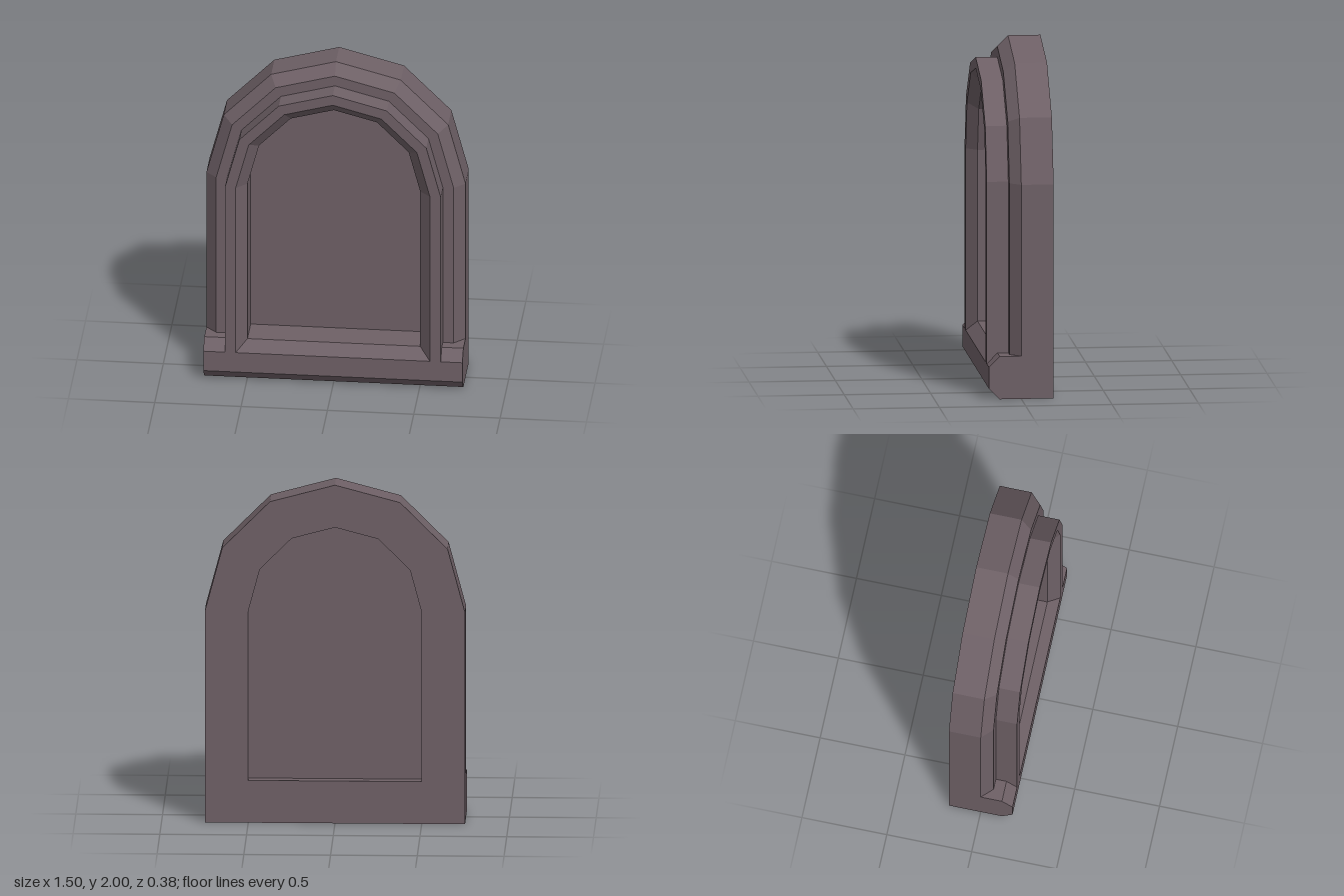
import * as THREE from 'three';

const SPRING = 1.25; // height where the arch begins
const SEGMENTS = 6;

// Sweep a closed [radius, z, footHeight] section up one jamb, over the arch and down the other.
function archSweep(section) {
  const rows = SEGMENTS + 3;
  const n = section.length;
  const positions = [];
  const indices = [];
  for (let j = 0; j < rows; j++) {
    const k = Math.min(Math.max(j - 1, 0), SEGMENTS);
    const angle = (k / SEGMENTS) * Math.PI;
    const isFoot = j === 0 || j === rows - 1;
    for (const [r, z, foot] of section) {
      positions.push(r * Math.cos(angle), isFoot ? foot : SPRING + r * Math.sin(angle), z);
    }
  }
  for (let j = 0; j < rows - 1; j++) {
    for (let i = 0; i < n; i++) {
      const a = j * n + i, d = j * n + (i + 1) % n;
      const b = a + n, c = d + n;
      indices.push(a, b, c, a, c, d);
    }
  }
  const indexed = new THREE.BufferGeometry();
  indexed.setAttribute('position', new THREE.Float32BufferAttribute(positions, 3));
  indexed.setIndex(indices);
  const geometry = indexed.toNonIndexed();
  geometry.computeVertexNormals();
  return geometry;
}

// Flat arched outline of a given half-width
function archShape(r, bottom) {
  const points = [new THREE.Vector2(-r, bottom), new THREE.Vector2(r, bottom)];
  for (let k = 0; k <= SEGMENTS; k++) {
    const a = (k / SEGMENTS) * Math.PI;
    points.push(new THREE.Vector2(r * Math.cos(a), SPRING + r * Math.sin(a)));
  }
  return new THREE.Shape(points);
}

export function createModel() {
  const model = new THREE.Group();
  model.name = 'archedWindow';

  const stone = new THREE.MeshStandardMaterial({ color: 0x6e6066, flatShading: true });
  stone.name = 'mauveStone';

  const add = (name, geometry) => {
    const mesh = new THREE.Mesh(geometry, stone);
    mesh.name = name;
    model.add(mesh);
    return mesh;
  };

  // Arched surround: chamfered outer step, raised moulding and chamfered reveal
  add('archedFrame', archSweep([
    [0.75, -0.1875, 0.25],
    [0.75, 0, 0.25],
    [0.6875, 0.0625, 0.25],
    [0.625, 0.0625, 0.25],
    [0.625, 0.125, 0.25],
    [0.625, 0.1875, 0.1875],
    [0.5625, 0.1875, 0.1875],
    [0.5, 0.125, 0.25],
    [0.5, -0.1875, 0.25],
  ]));

  // Sill: profile drawn as (-z, y), extruded across the width
  const sillProfile = new THREE.Shape([
    [0.1875, 0], [0.1875, 0.25], [-0.125, 0.25],
    [-0.1875, 0.1875], [-0.1875, 0.0625], [-0.125, 0],
  ].map(([u, v]) => new THREE.Vector2(u, v)));
  const sill = new THREE.ExtrudeGeometry(sillProfile, { depth: 1.5, bevelEnabled: false });
  sill.translate(0, 0, -0.75).rotateY(Math.PI / 2);
  add('sill', sill);

  // Recessed panel filling the opening
  const panel = new THREE.ExtrudeGeometry(archShape(0.5, 0.25), { depth: 0.0625, bevelEnabled: false });
  panel.translate(0, 0, -0.125);
  add('panel', panel);

  return model;
}
